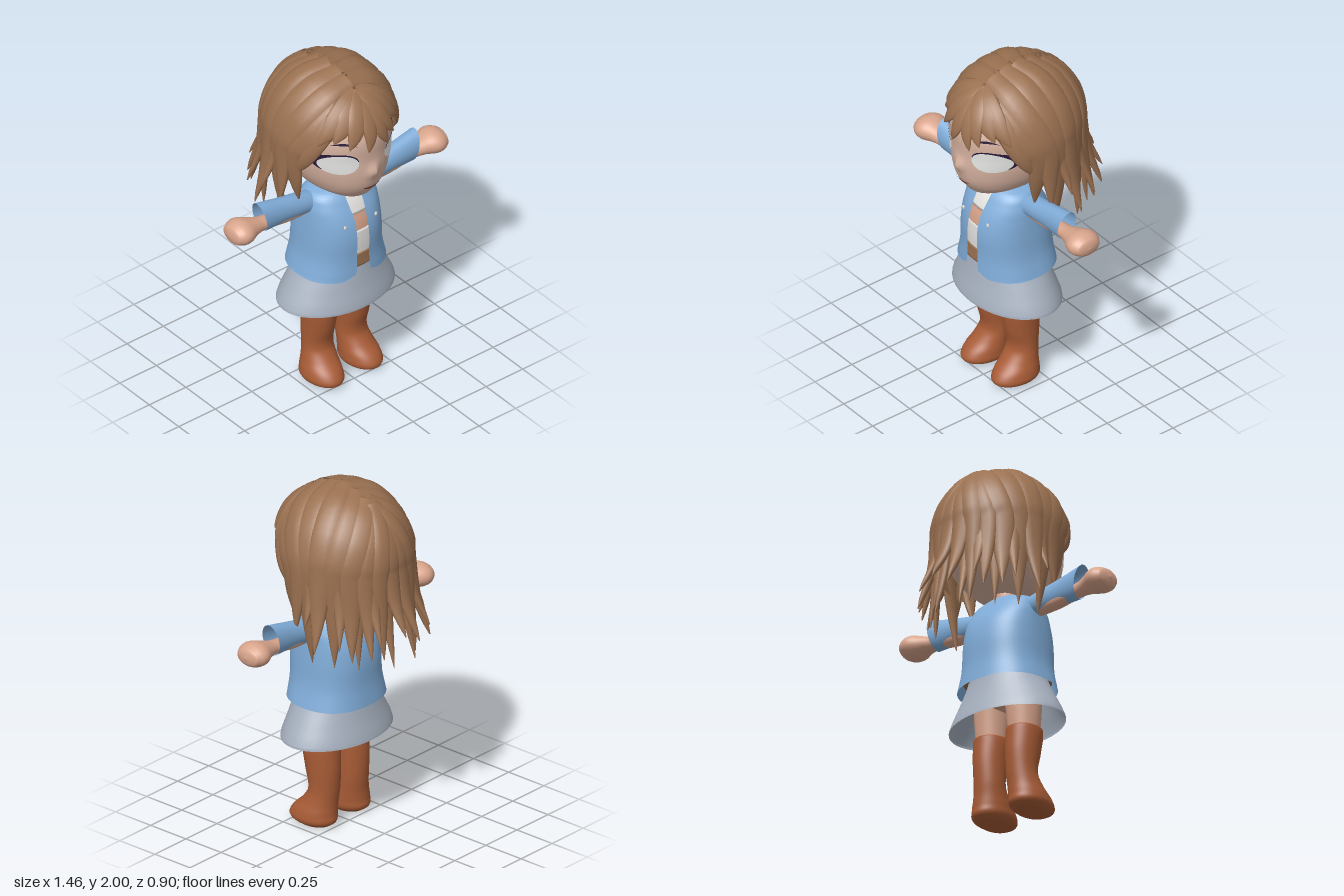
import * as THREE from 'three';

const mat = (name, color, side = THREE.FrontSide) => {
  const m = new THREE.MeshStandardMaterial({ color, side });
  m.name = name;
  return m;
};
const M = {
  hair: mat('hair brown', 0x9b7151, THREE.DoubleSide),
  face: mat('face skin', 0xd6b2a0),
  skin: mat('body skin', 0xd9a58c),
  blue: mat('jacket blue', 0x80acd8, THREE.DoubleSide),
  skirt: mat('skirt grey', 0xa6b0be, THREE.DoubleSide),
  boot: mat('boot leather', 0xa85c36),
  white: mat('shirt white', 0xe6e4e1),
  eye: mat('eye white', 0xfafaf8, THREE.DoubleSide),
  lash: mat('lash purple', 0x2a1a3a, THREE.DoubleSide),
  lip: mat('lip', 0x8a4a44, THREE.DoubleSide),
};

function add(parent, name, geo, material) {
  const mesh = new THREE.Mesh(geo, material);
  mesh.name = name;
  parent.add(mesh);
}

// grid of (rows+1) x (cols+1) points given by fn(row, col)
function grid(rows, cols, fn, wrap = false) {
  const pos = [], idx = [], n = wrap ? cols : cols + 1;
  for (let j = 0; j <= rows; j++) for (let i = 0; i < n; i++) pos.push(...fn(j, i));
  for (let j = 0; j < rows; j++) for (let i = 0; i < cols; i++) {
    const a = j * n + i, b = j * n + (i + 1) % n;
    idx.push(a, a + n, b, b, a + n, b + n);
  }
  const g = new THREE.BufferGeometry();
  g.setAttribute('position', new THREE.Float32BufferAttribute(pos, 3));
  g.setIndex(idx);
  g.computeVertexNormals();
  return g;
}

// smooth sampler over sections [y, cx, cz, rx, frontDepth, backDepth]
function sampler(keys) {
  const it = new THREE.CubicInterpolant(keys.map(k => k[0]), new Float32Array(keys.flatMap(k => k.slice(1))), 5);
  return y => {
    const [cx, cz, rx, f, b] = it.evaluate(y);
    return { cx, cz, rx: Math.max(rx, 0), f: Math.max(f, 0), b: Math.max(b, 0) };
  };
}

// skin over the sections; p < 1 gives boxier sections, gap(y) opens the front
function loft(keys, { p = 1, gap = null, seg = 40, sub = 5, caps = false, warp = null } = {}) {
  const at = sampler(keys), ys = [];
  keys.forEach((k, i) => {
    if (i) for (let s = 1; s <= sub; s++) ys.push(THREE.MathUtils.lerp(keys[i - 1][0], k[0], s / sub));
    else ys.push(k[0]);
  });
  const rows = ys.map(y => ({ y, ...at(y) }));
  if (caps) {
    const flat = r => ({ ...r, rx: 0, f: 0, b: 0 });
    rows.unshift(flat(rows[0]));
    rows.push(flat(rows[rows.length - 1]));
  }
  const pw = v => Math.sign(v) * Math.abs(v) ** p;
  return grid(rows.length - 1, seg, (j, i) => {
    const r = rows[j], g = gap ? gap(r.y) : 0;
    const a = Math.PI / 2 + g + (2 * Math.PI - 2 * g) * i / seg;
    const c = pw(Math.cos(a)), s = pw(Math.sin(a));
    const v = [r.cx + r.rx * c, r.y, r.cz + (s > 0 ? r.f : r.b) * s];
    if (warp) v[2] += warp(...v);
    return v;
  }, !gap);
}

// ---------- head ----------
const headKeys = [
  [1.255, 0, 0.24, 0.04, 0.05, 0.04], [1.27, 0, 0.2, 0.1, 0.125, 0.1], [1.31, 0, 0.13, 0.18, 0.23, 0.17],
  [1.37, 0, 0.08, 0.235, 0.315, 0.25], [1.45, 0, 0.05, 0.275, 0.36, 0.3], [1.55, 0, 0.04, 0.297, 0.37, 0.32],
  [1.7, 0, 0.04, 0.297, 0.365, 0.32], [1.82, 0, 0.04, 0.24, 0.29, 0.26], [1.92, 0, 0.04, 0.11, 0.14, 0.12], [1.94, 0, 0.04, 0, 0, 0],
];
const nose = (x, y, z) => z > 0.2 ? 0.03 * Math.exp(-((x / 0.028) ** 2) - ((y - 1.475) / 0.04) ** 2) : 0;
const headAt = sampler(headKeys);
function faceZ(x, y) {
  const r = headAt(y);
  const z = r.cz + r.f * Math.sqrt(Math.max(0, 1 - (x / r.rx) ** 2));
  return z + nose(x, y, z);
}
// thin painted patch lying on the face, fn(u, v) -> [x, y]
const patch = (fn, lift = 0.005, nu = 32, nv = 6) => grid(nv, nu, (j, i) => {
  const [x, y] = fn(i / nu, j / nv);
  return [x, y, faceZ(x, y) + lift];
});

function buildHead(root) {
  const head = new THREE.Group();
  head.name = 'head';
  root.add(head);
  add(head, 'face', loft(headKeys, { seg: 72, sub: 8, caps: true, warp: nose }), M.face);
  for (const s of [1, -1]) {
    // mirrored patches run the other way round, so they keep facing forward
    const run = u => s > 0 ? u : 1 - u;
    const eye = (a, k, d = 0) => [s * (0.172 + (0.086 * k + d) * Math.cos(a)), 1.553 + (0.066 * k + d * 0.8) * Math.sin(a)];
    add(head, 'eye', patch((u, v) => eye(run(u) * 2 * Math.PI, v)), M.eye);
    add(head, 'upperLash', patch((u, v) => {
      const t = run(u), a = -0.65 + t * 3.5;
      const th = (0.013 + 0.024 * Math.exp(-((a - 0.4) ** 2) / 0.25)) * Math.sin(Math.PI * (t * 0.9 + 0.06)) ** 0.6;
      return eye(a, 0.95, v * th);
    }, 0.009), M.lash);
    add(head, 'brow', patch((u, v) => {
      const t = run(1 - u);
      return [s * (0.095 + 0.12 * t), 1.668 + 0.02 * Math.sin(t * 2.6) + (v - 0.5) * 0.014 * Math.sin(Math.PI * t)];
    }, 0.006, 12, 2), M.lash);
  }
  add(head, 'mouth', patch((u, v) => {
    const t = 1 - u * 2;
    return [t * 0.056, 1.36 + 0.014 * t * t + (v - 0.5) * 0.019 * (1 - t * t)];
  }, 0.006, 16, 2), M.lip);
}

// ---------- hair ----------
const C = new THREE.Vector3(0, 1.59, 0.04), R = new THREE.Vector3(0.337, 0.385, 0.37);
const rad = THREE.MathUtils.degToRad;
const onDome = (u, k = 1) => u.clone().multiply(R).multiplyScalar(k).add(C);
const parting = z => {
  const q = (z - C.z) / R.z;
  return new THREE.Vector3(0, Math.sqrt(1 - q * q), q);
};
const around = (az, h = 0) => {
  const c = Math.sqrt(1 - h * h);
  return new THREE.Vector3(c * Math.sin(rad(az)), h, c * Math.cos(rad(az)));
};
const arc = (a, b, t) => {
  const w = a.angleTo(b);
  return a.clone().multiplyScalar(Math.sin((1 - t) * w) / Math.sin(w)).addScaledVector(b, Math.sin(t * w) / Math.sin(w));
};

// tapered lock with a lens section, flat side facing the head
function lock(points, width, thick) {
  const curve = new THREE.CatmullRomCurve3(points), rows = 24, seg = 10;
  return grid(rows, seg, (j, i) => {
    const t = j / rows, p = curve.getPoint(t), T = curve.getTangent(t);
    const N = p.clone().sub(new THREE.Vector3(0, Math.min(p.y, C.y), C.z));
    N.addScaledVector(T, -N.dot(T)).normalize();
    const B = new THREE.Vector3().crossVectors(T, N);
    const w = t < 0.4 ? 0.75 + 0.25 * Math.sin(t / 0.4 * Math.PI / 2) : Math.max(0.01, 1 - ((t - 0.4) / 0.6) ** 2.8);
    const a = i / seg * 2 * Math.PI;
    return p.addScaledVector(B, Math.cos(a) * width * w).addScaledVector(N, Math.sin(a) * thick * Math.sqrt(w)).toArray();
  }, true);
}

// lock running over the dome, then hanging down to tipY and flaring by flare
function hanging(z0, az, tipY, flare, k = 1) {
  const a = parting(z0), e = around(az), pts = [0, 0.3, 0.6, 0.85, 1].map(t => onDome(arc(a, e, t), k));
  const out = (y, f) => {
    const v = onDome(e, 1);
    return new THREE.Vector3(v.x * f, y, C.z + (v.z - C.z) * f);
  };
  pts.push(out(THREE.MathUtils.lerp(C.y, tipY, 0.5), k + (flare - k) * 0.3), out(tipY, flare));
  return pts;
}

function buildHair(root) {
  const hair = new THREE.Group();
  hair.name = 'hair';
  root.add(hair);
  // scalp under the locks, open around the face
  add(hair, 'scalp', loft([
    [1.36, 0, 0.04, 0.31, 0.35, 0.33], [1.6, 0, 0.04, 0.333, 0.37, 0.365], [1.75, 0, 0.04, 0.305, 0.345, 0.335],
    [1.88, 0, 0.04, 0.22, 0.245, 0.24], [1.95, 0, 0.04, 0.115, 0.13, 0.125], [1.975, 0, 0.04, 0, 0, 0],
  ], { gap: y => rad(THREE.MathUtils.clamp(78 - (y - 1.58) * 300, 0.1, 78)) }), M.hair);

  for (const s of [1, -1]) {
    // side locks [parting z, azimuth, tip height, flare]
    [[0.26, 75, 1.24, 0.84], [0.19, 86, 1.23, 1.05], [0.11, 96, 1.04, 0.86], [0.03, 108, 1.16, 1.24],
      [-0.05, 121, 1.06, 1.02], [-0.13, 135, 1.12, 1.2]].forEach(([z, az, y, f], i) =>
      add(hair, 'sideLock', lock(hanging(z, s * az, y + (s > 0 ? 0 : 0.02 * (i % 3)), f, 1 + 0.012 * (i % 2)), 0.077, 0.028), M.hair));
    // outer and inner back locks
    [[148, 1.14, 1.3], [161, 1.08, 1.14], [173, 1.19, 1.34]].forEach(([az, y, f], i) =>
      add(hair, 'backLock', lock(hanging(-0.16, s * az, y + (s > 0 ? 0.03 * i : 0), f, 1 + 0.015 * (i % 2)), 0.068, 0.032), M.hair));
    [[100, 1.3, 1.2], [126, 1.2, 1.26], [141, 1.06, 1.08], [154, 1.22, 1.32], [168, 1.06, 1.2]].forEach(([az, y, f]) =>
      add(hair, 'underLock', lock(hanging(-0.14, s * az, y, f, 0.98), 0.055, 0.026), M.hair));
    // fringe [azimuth, tip height, width]
    [[s > 0 ? 12 : 4, 1.62, 0.05], [22, 1.66, 0.056], [36, 1.7, 0.06], [51, 1.68, 0.06], [64, 1.6, 0.056], [76, 1.44, 0.05]].forEach(([az, y, w], i) => {
      const a = parting(0.25), e = around(s * az, (y - C.y) / R.y);
      const pts = [0, 0.25, 0.5, 0.75, 1].map(t => onDome(arc(a, e, t), 1.01 + 0.006 * (i % 2) + 0.06 * Math.sin(t * 2.2) * Math.cos(rad(az))));
      // tips sweep sideways
      pts[4].x += s * 0.02 * Math.cos(rad(az));
      add(hair, 'fringeLock', lock(pts, w, 0.018), M.hair);
    });
  }
}

// ---------- body and clothes ----------
const jacketKeys = [
  [0.735, 0, 0.09, 0.268, 0.242, 0.238], [0.85, 0, 0.09, 0.24, 0.236, 0.224], [1.0, 0, 0.09, 0.23, 0.238, 0.218],
  [1.1, 0, 0.09, 0.224, 0.217, 0.195], [1.18, 0, 0.09, 0.214, 0.178, 0.15], [1.24, 0, 0.09, 0.178, 0.135, 0.105], [1.265, 0, 0.09, 0.11, 0.1, 0.08],
];

function buildBody(root) {
  const jacketAt = sampler(jacketKeys);
  // layers of the torso seen through the open jacket
  [['belt', 0.79, 0.87, M.hair, 0.92], ['lowerShirt', 0.86, 1.02, M.white, 0.9], ['midriff', 1.01, 1.125, M.skin, 0.89], ['upperShirt', 1.12, 1.25, M.white, 0.92]]
    .forEach(([name, y0, y1, m, k]) => {
      const keys = [0, 0.5, 1].map(t => {
        const y = y0 + (y1 - y0) * t, r = jacketAt(y);
        return [y, 0, r.cz, r.rx * k, r.f * k, r.b * k];
      });
      add(root, name, loft(keys, { p: 0.85, caps: true }), m);
    });
  add(root, 'jacket', loft(jacketKeys, { p: 0.85, seg: 56, gap: y => 0.13 + 0.08 * Math.max(0, (y - 1.1) / 0.15) + 0.25 * Math.max(0, (0.77 - y) / 0.035) ** 2 }), M.blue);
  add(root, 'neck', new THREE.CylinderGeometry(0.07, 0.08, 0.16, 24).translate(0, 1.28, 0.09), M.skin);
  add(root, 'skirt', loft([[0.53, 0, 0.09, 0.355, 0.25, 0.25], [0.545, 0, 0.09, 0.352, 0.249, 0.247], [0.65, 0, 0.09, 0.3, 0.225, 0.215],
    [0.75, 0, 0.09, 0.245, 0.205, 0.19], [0.81, 0, 0.09, 0.222, 0.195, 0.18]]), M.skirt);
  add(root, 'hips', new THREE.SphereGeometry(1, 28, 18).scale(0.205, 0.12, 0.165).translate(0, 0.74, 0.09), M.skin);

  for (const s of [1, -1]) {
    const side = new THREE.Group();
    side.name = s > 0 ? 'leftLimbs' : 'rightLimbs';
    side.scale.x = s;
    root.add(side);
    add(side, 'leg', loft([[0.44, 0.115, 0.095, 0.082, 0.085, 0.085], [0.6, 0.112, 0.095, 0.094, 0.1, 0.1], [0.74, 0.105, 0.095, 0.1, 0.115, 0.115]], { caps: true }), M.skin);
    add(side, 'boot', loft([
      [0.005, 0.13, 0.13, 0.07, 0.105, 0.095], [0.03, 0.132, 0.13, 0.1, 0.148, 0.13], [0.08, 0.13, 0.12, 0.104, 0.145, 0.122],
      [0.14, 0.122, 0.1, 0.094, 0.105, 0.102], [0.21, 0.115, 0.08, 0.087, 0.082, 0.088], [0.34, 0.115, 0.085, 0.091, 0.1, 0.1],
      [0.45, 0.115, 0.095, 0.097, 0.107, 0.105], [0.48, 0.115, 0.095, 0.095, 0.105, 0.103],
    ], { caps: true }), M.boot);
    // arm and sleeve are lofted upward, then laid along x
    add(side, 'armAndHand', loft([
      [0.15, -1.17, 0.095, 0.046, 0.05, 0.05], [0.35, -1.168, 0.095, 0.044, 0.046, 0.046], [0.52, -1.185, 0.095, 0.04, 0.045, 0.045],
      [0.58, -1.193, 0.095, 0.05, 0.064, 0.064], [0.65, -1.197, 0.095, 0.067, 0.095, 0.095], [0.7, -1.195, 0.095, 0.056, 0.08, 0.08],
      [0.722, -1.195, 0.095, 0.034, 0.05, 0.05], [0.73, -1.195, 0.095, 0, 0, 0],
    ], { seg: 28 }).rotateZ(-Math.PI / 2), M.skin);
    const sleeve = loft([[0.14, -1.175, 0.09, 0.055, 0.06, 0.06], [0.24, -1.19, 0.092, 0.065, 0.06, 0.06],
      [0.38, -1.21, 0.095, 0.077, 0.056, 0.056], [0.52, -1.228, 0.095, 0.094, 0.06, 0.06]], { seg: 32 }).rotateZ(-Math.PI / 2);
    // slant the cuff
    const p = sleeve.attributes.position;
    for (let i = 0; i < p.count; i++) p.setX(i, p.getX(i) + (p.getY(i) - 1.22) * 0.2 * Math.max(0, (p.getX(i) - 0.3) / 0.22));
    sleeve.computeVertexNormals();
    add(side, 'sleeve', sleeve, M.blue);
    add(side, 'button', new THREE.SphereGeometry(0.01, 10, 8).scale(1, 1.3, 0.5).translate(0.105, 1.08, 0.304), M.white);
  }
}

export function createModel() {
  const root = new THREE.Group();
  root.name = 'girl';
  buildBody(root);
  buildHead(root);
  buildHair(root);
  return root;
}
